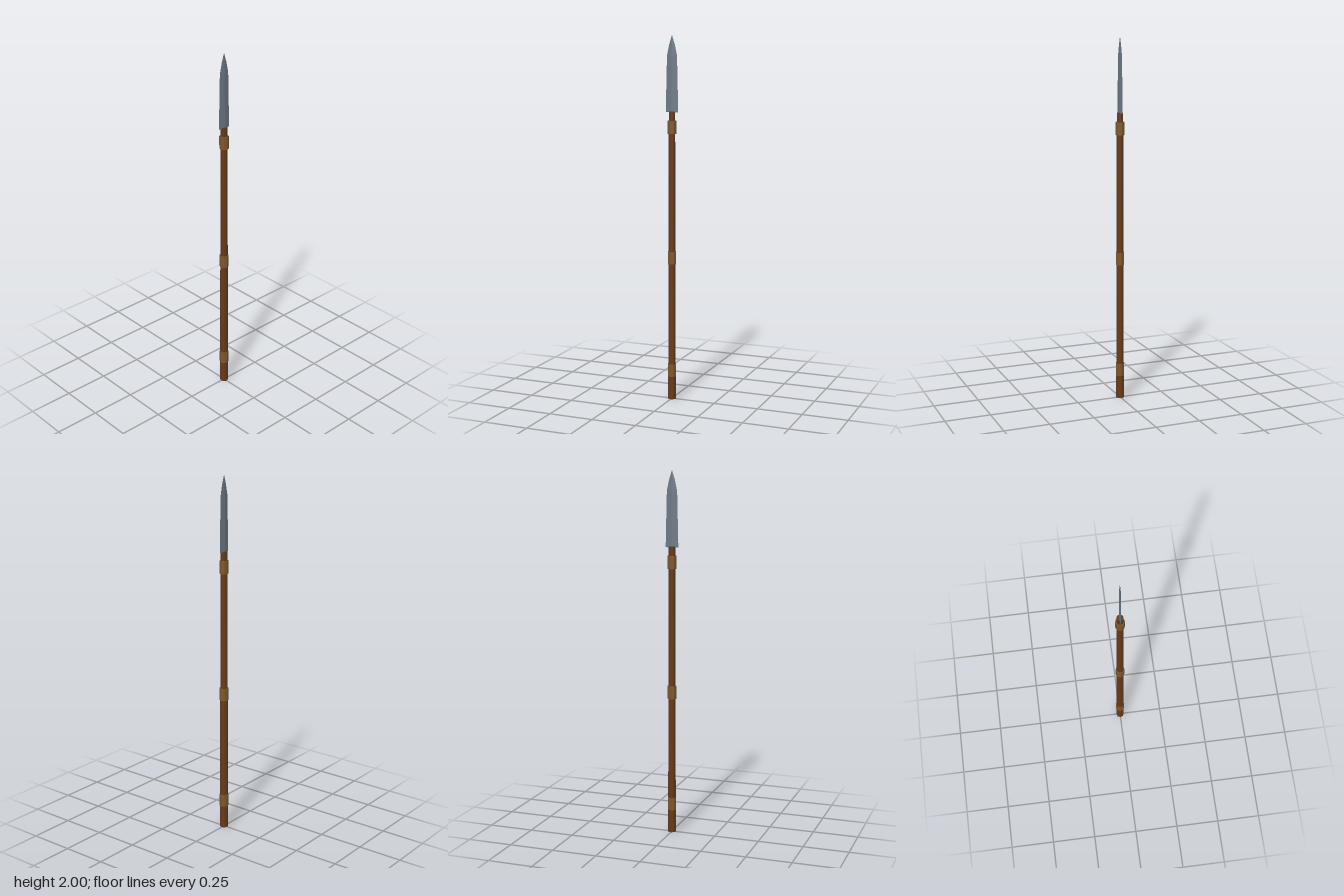
import * as THREE from 'three';

export function createModel() {
  const model = new THREE.Group();
  model.name = 'spear';

  const material = (name, color) => {
    const m = new THREE.MeshStandardMaterial({ color, flatShading: true });
    m.name = name;
    return m;
  };
  const wood = material('dark wood', 0x633a1b);
  const leather = material('leather wrap', 0x7d562b);
  const steel = material('blade steel', 0x6c7884);

  const add = (name, geometry, mat) => {
    const mesh = new THREE.Mesh(geometry, mat);
    mesh.name = name;
    model.add(mesh);
    return mesh;
  };

  // Eight-sided shaft, slightly tapered towards the blade
  const shaftHeight = 1.595;
  add('shaft', new THREE.CylinderGeometry(0.0185, 0.023, shaftHeight, 8), wood)
    .position.y = shaftHeight / 2;

  // Three wrapped bands
  [['lowerBand', 0.164], ['middleBand', 0.797], ['upperBand', 1.51]].forEach(([name, y]) => {
    add(name, new THREE.CylinderGeometry(0.025, 0.025, 0.07, 8), leather).position.y = y;
  });

  // Blade: diamond cross-section, half-width by height, flattened in z
  const profile = [
    [0, 1.59], [0.036, 1.59], [0.029, 1.89], [0.016, 1.95], [0, 2],
  ].map(([x, y]) => new THREE.Vector2(x, y));
  const blade = new THREE.LatheGeometry(profile, 4);
  blade.scale(1, 1, 0.17);
  add('blade', blade, steel);

  return model;
}
